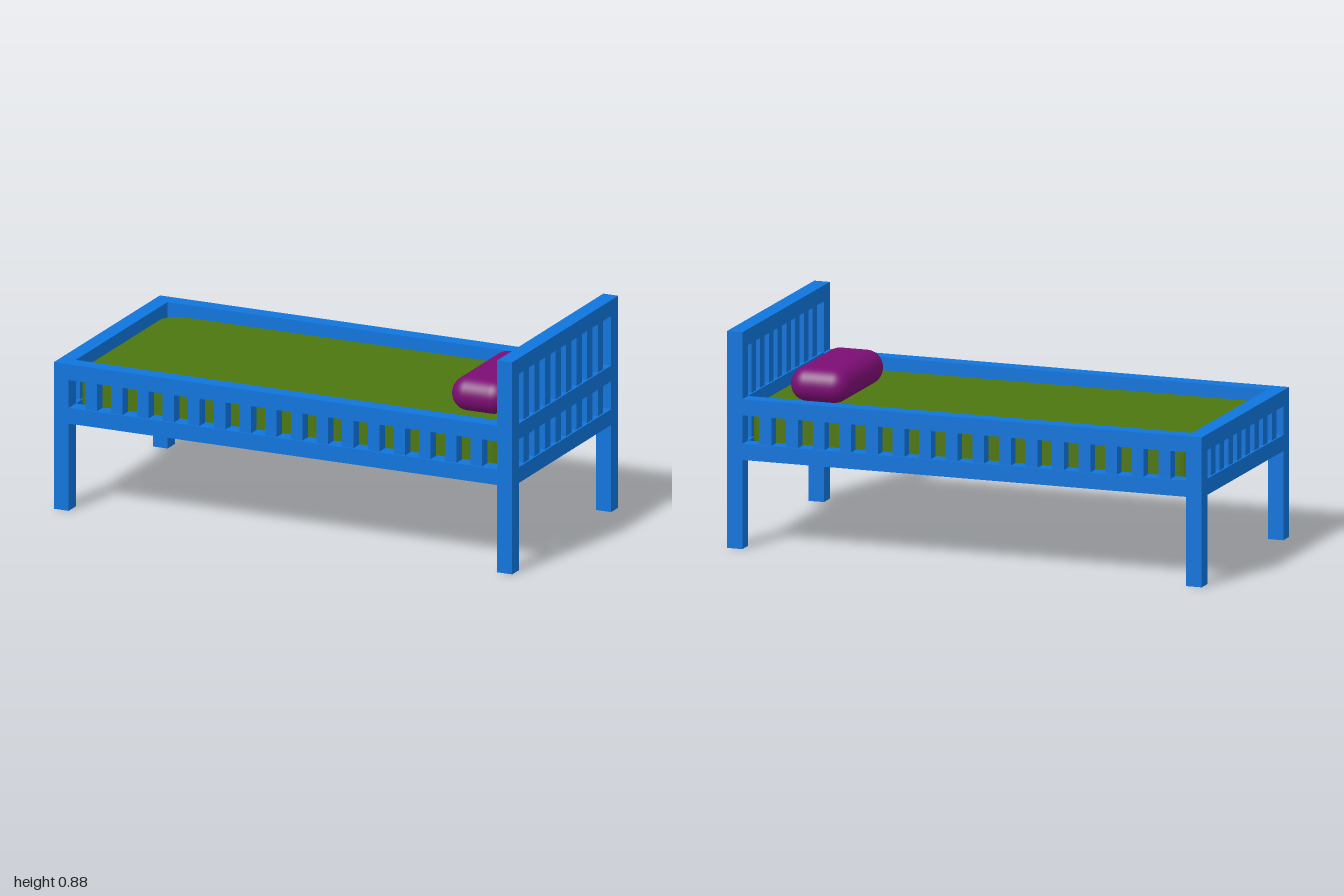
import * as THREE from 'three';
import { RoundedBoxGeometry } from 'three/addons/geometries/RoundedBoxGeometry.js';

const T = 0.065;            // timber thickness
const X = 1 - T / 2;        // post centre lines
const Z = 0.485 - T / 2;
const LOW = 0.3925, MID = 0.5725, HIGH = 0.8425; // rail heights

export function createModel() {
  const model = new THREE.Group();
  const blue = new THREE.MeshStandardMaterial({ color: 0x0f75dd });
  const green = new THREE.MeshStandardMaterial({ color: 0x4d760e });
  const purple = new THREE.MeshStandardMaterial({ color: 0x7c0d74 });

  const box = (name, w, h, d, x, y, z, parent = model) => {
    const mesh = new THREE.Mesh(new THREE.BoxGeometry(w, h, d), blue);
    mesh.name = name;
    mesh.position.set(x, y, z);
    parent.add(mesh);
  };
  const group = (name) => {
    const g = new THREE.Group();
    g.name = name;
    model.add(g);
    return g;
  };

  const innerX = 2 * (X - T / 2), innerZ = 2 * (Z - T / 2);
  const slatW = 0.05;

  // End frames: posts, rails and upright slats
  for (const [name, x, height, rails] of [
    ['headboard', X, 0.875, [LOW, MID, HIGH]],
    ['footboard', -X, 0.605, [LOW, MID]],
  ]) {
    const end = group(name);
    for (const s of [-1, 1]) box('post', T, height, T, x, height / 2, s * Z, end);
    for (const y of rails) box('endRail', T, T, innerZ, x, y, 0, end);
    for (let r = 0; r < rails.length - 1; r++) {
      const gap = rails[r + 1] - rails[r] - T;
      const y = (rails[r] + rails[r + 1]) / 2;
      for (let i = 0; i < 8; i++) {
        box('endSlat', slatW, gap, slatW, x, y, (i - 3.5) * 0.0967, end);
      }
    }
  }

  // Long sides: two rails with slats between
  for (const s of [-1, 1]) {
    const side = group(s > 0 ? 'frontSide' : 'backSide');
    for (const y of [LOW, MID]) box('sideRail', innerX, T, T, 0, y, s * Z, side);
    for (let i = 0; i < 16; i++) {
      box('sideSlat', slatW, MID - LOW - T, slatW, (i - 7.5) * 0.112, (LOW + MID) / 2, s * Z, side);
    }
  }

  // Crossed bars carrying the mattress
  const base = group('bedBase');
  for (let i = 0; i < 4; i++) box('longBar', innerX, 0.025, 0.035, 0, 0.4075, (i - 1.5) * 0.168, base);
  for (let i = 0; i < 8; i++) box('crossBar', 0.035, 0.025, innerZ, (i - 3.5) * 0.207, 0.3975, 0, base);

  // Mattress: slab with rounded corners
  const hx = innerX / 2 - 0.001, hz = innerZ / 2 - 0.001, r = 0.075;
  const outline = new THREE.Shape();
  outline.absarc(hx - r, hz - r, r, 0, Math.PI / 2);
  outline.absarc(-hx + r, hz - r, r, Math.PI / 2, Math.PI);
  outline.absarc(-hx + r, -hz + r, r, Math.PI, Math.PI * 1.5);
  outline.absarc(hx - r, -hz + r, r, Math.PI * 1.5, Math.PI * 2);
  const slab = new THREE.ExtrudeGeometry(outline, { depth: 0.132, bevelEnabled: false, curveSegments: 10 });
  slab.rotateX(-Math.PI / 2);
  const mattress = new THREE.Mesh(slab, green);
  mattress.name = 'mattress';
  mattress.position.y = 0.42;
  model.add(mattress);

  // Pillow
  const pillow = new THREE.Mesh(new RoundedBoxGeometry(0.245, 0.14, 0.487, 6, 0.069), purple);
  pillow.name = 'pillow';
  pillow.position.set(0.72, 0.617, 0);
  model.add(pillow);

  return model;
}
